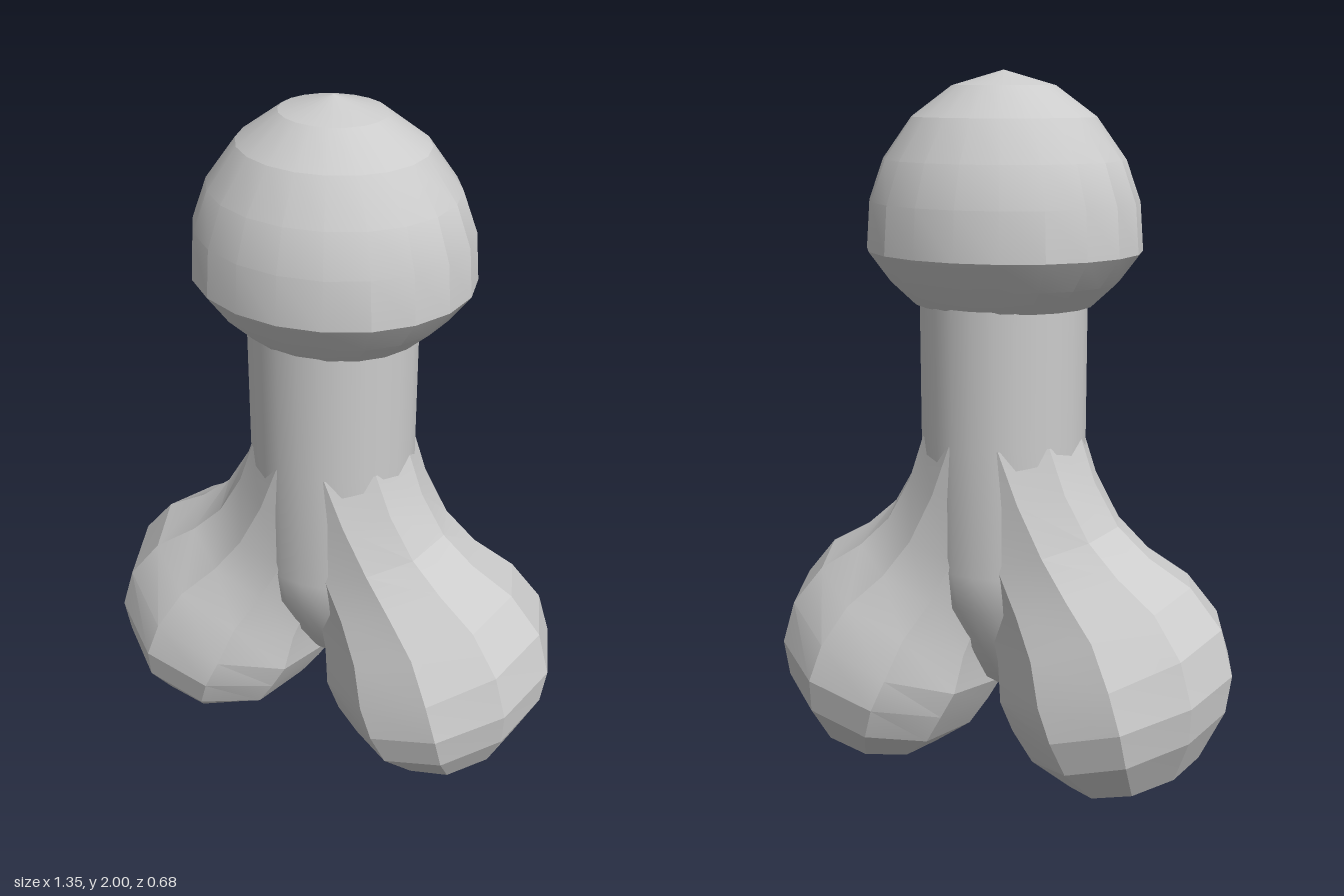
import * as THREE from 'three';
import { toCreasedNormals } from 'three/addons/utils/BufferGeometryUtils.js';

const material = new THREE.MeshStandardMaterial({ color: 0xcccccc });

function part(name, geometry) {
  const mesh = new THREE.Mesh(geometry, material);
  mesh.name = name;
  return mesh;
}

// Profile of [radius, y] from bottom to top, turned about y
function lathe(profile, segments) {
  return new THREE.LatheGeometry(profile.map(([r, y]) => new THREE.Vector2(r, y)), segments);
}

// Tilted rings, each [outerX, outerY, innerX, innerY, halfDepth], joined top to bottom
function loft(rings, sides) {
  const positions = [], index = [];
  for (const [ox, oy, ix, iy, depth] of rings) {
    for (let j = 0; j < sides; j++) {
      const a = (j / sides) * Math.PI * 2;
      const t = (1 + Math.cos(a)) / 2;
      positions.push(ix + (ox - ix) * t, iy + (oy - iy) * t, Math.sin(a) * depth);
    }
  }
  for (let i = 0; i < rings.length - 1; i++) {
    for (let j = 0; j < sides; j++) {
      const k = (j + 1) % sides;
      const a = i * sides + j, b = i * sides + k;
      index.push(a, b, a + sides, b, b + sides, a + sides);
    }
  }
  // Close the lower end
  const last = (rings.length - 1) * sides;
  for (let j = 1; j < sides - 1; j++) index.push(last, last + j, last + j + 1);
  const geometry = new THREE.BufferGeometry();
  geometry.setAttribute('position', new THREE.Float32BufferAttribute(positions, 3));
  geometry.setIndex(index);
  return toCreasedNormals(geometry, 0.28);
}

export function createModel() {
  const group = new THREE.Group();
  group.name = 'roundedColumn';

  // Domed cap, slightly flattened front to back
  const cap = lathe([
    [0, 1.385], [0.25, 1.385], [0.32, 1.45], [0.38, 1.53], [0.37, 1.66],
    [0.33, 1.77], [0.25, 1.88], [0.14, 1.96], [0, 2],
  ], 20);
  cap.scale(1, 1, 0.895);
  group.add(part('cap', toCreasedNormals(cap, 0.3)));

  // Round shaft, tapering where the two lobes meet
  group.add(part('shaft', lathe([
    [0, 0.25], [0.07, 0.3], [0.15, 0.42], [0.21, 0.55], [0.23, 0.66], [0.23, 1.02], [0.23, 1.4],
  ], 24)));

  // Faceted lobes flaring out of the shaft
  const lobe = loft([
    [0.23, 1.02, -0.23, 1.02, 0.23],
    [0.27, 0.9, -0.15, 0.83, 0.225],
    [0.34, 0.78, -0.08, 0.65, 0.225],
    [0.43, 0.7, -0.03, 0.5, 0.245],
    [0.55, 0.63, 0, 0.38, 0.295],
    [0.64, 0.52, 0.01, 0.27, 0.34],
    [0.675, 0.39, 0.05, 0.2, 0.352],
    [0.66, 0.28, 0.11, 0.11, 0.325],
    [0.59, 0.13, 0.22, 0.03, 0.23],
    [0.48, 0.04, 0.35, 0.005, 0.09],
  ], 10);
  const left = part('leftLobe', lobe);
  const right = part('rightLobe', lobe);
  right.rotation.y = Math.PI;
  group.add(left, right);

  return group;
}
